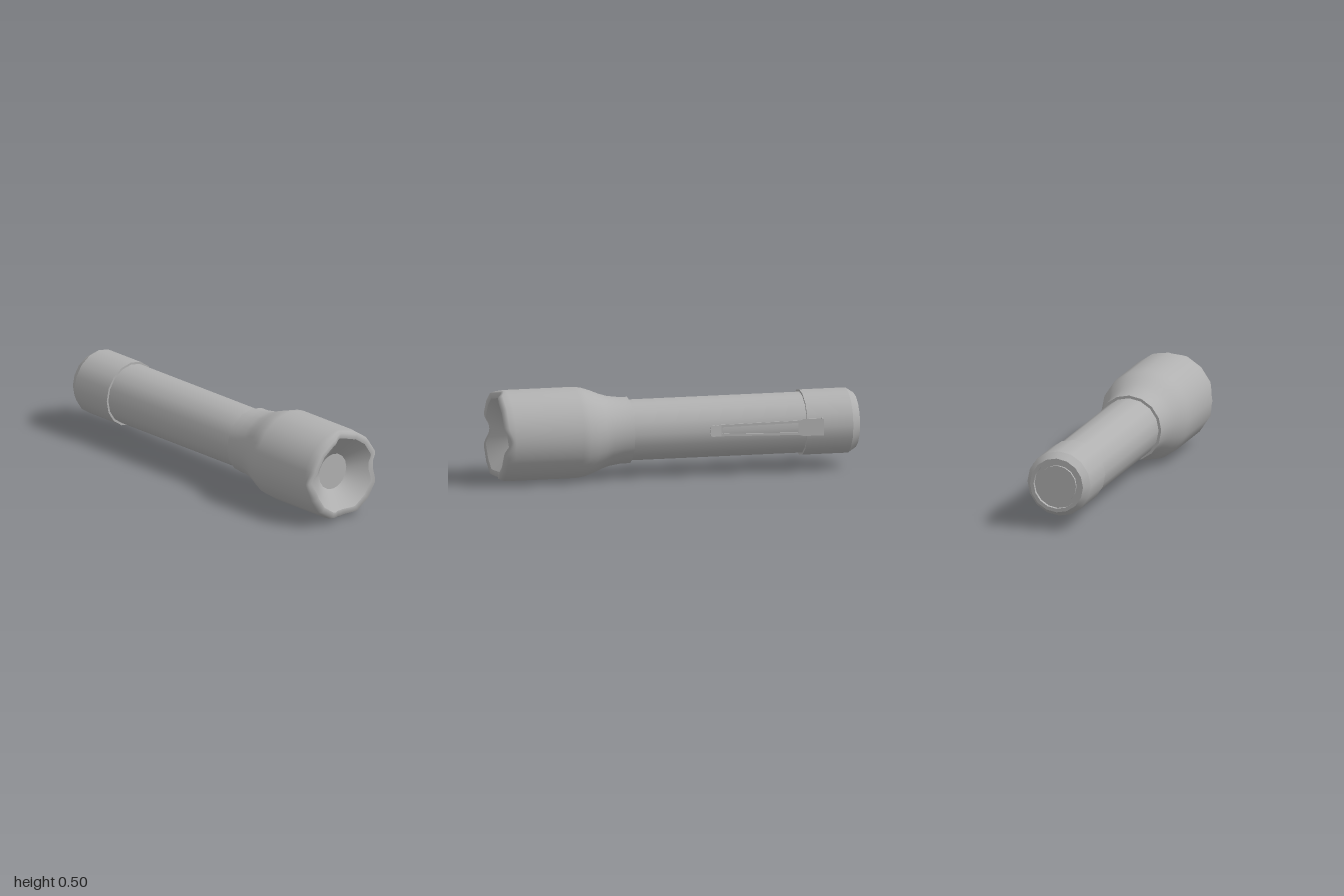
import * as THREE from 'three';
import { mergeGeometries } from 'three/addons/utils/BufferGeometryUtils.js';

const SIDES = 16, AXIS_Y = 0.25;
const grey = new THREE.MeshStandardMaterial({ color: 0xb0b0b0 });
grey.name = 'grey';

// Revolve [radius, z] profiles around the z axis; separate profiles meet in sharp edges.
// Profiles running towards +z face outwards.
function turned(profiles, segments = SIDES) {
  const parts = profiles.map(p =>
    new THREE.LatheGeometry(p.map(([r, z]) => new THREE.Vector2(r, z)), segments).rotateX(Math.PI / 2));
  return mergeGeometries(parts);
}

// Flatten a finely divided turning to 16 sides and cut four scallops into its front edge.
function scallop(geometry, zFrom, zTo) {
  const pos = geometry.attributes.position, step = 2 * Math.PI / SIDES;
  for (let i = 0; i < pos.count; i++) {
    const x = pos.getX(i), y = pos.getY(i), z = pos.getZ(i);
    const a = Math.atan2(y, x) + 2 * Math.PI;
    const chord = Math.cos(step / 2) / Math.cos(a - (Math.floor(a / step + 1e-6) + 0.5) * step);
    const quarter = Math.PI / 2;
    const off = Math.abs(a - Math.round(a / quarter) * quarter);
    const depth = off < step ? 0.0175 * (1 + Math.cos(off / step * Math.PI)) : 0;
    const weight = THREE.MathUtils.clamp((z - zFrom) / (zTo - zFrom), 0, 1);
    pos.setXYZ(i, x * chord, y * chord, z - depth * weight);
  }
  return geometry;
}

// Flat plate drawn as (-z, y), given thickness along x and leaned along its length.
function plate(outline, hole, thickness, xAt) {
  const toPoints = list => list.map(([u, v]) => new THREE.Vector2(u, v));
  const shape = new THREE.Shape(toPoints(outline));
  if (hole) shape.holes.push(new THREE.Path(toPoints(hole)));
  const g = new THREE.ExtrudeGeometry(shape, { depth: thickness, bevelEnabled: false });
  g.rotateY(Math.PI / 2);
  const pos = g.attributes.position;
  for (let i = 0; i < pos.count; i++) pos.setX(i, pos.getX(i) + xAt(-pos.getZ(i)));
  g.computeVertexNormals();
  return g;
}

export function createModel() {
  const model = new THREE.Group();
  model.name = 'flashlight';
  const add = (name, geometry, parent = model) => {
    const mesh = new THREE.Mesh(geometry, grey);
    mesh.name = name;
    parent.add(mesh);
    return mesh;
  };

  const torch = new THREE.Group();
  torch.name = 'torch';
  torch.position.y = AXIS_Y;
  model.add(torch);

  // Flared head with a crown-shaped rim
  add('head', scallop(turned([
    [[0.16, 0.26], [0.182, 0.26]],
    [[0.182, 0.26], [0.183, 0.31], [0.192, 0.375], [0.206, 0.42], [0.227, 0.47], [0.244, 0.52],
      [0.25, 0.56], [0.25, 0.75], [0.25, 0.94], [0.246, 0.975], [0.236, 1], [0.207, 0.995]],
  ], 128), 0.94, 0.99), torch);

  // Conical reflector and lens
  add('reflector', scallop(turned([[[0.207, 0.995], [0.1, 0.9]]], 128), 0.9, 0.995), torch);
  add('lens', turned([[[0.1, 0.9], [0, 0.9]]]), torch);

  // Barrel
  add('barrel', turned([[[0.167, -0.71], [0.167, 0.27]]]), torch);

  // Tail cap with a bevelled end and a shallow recess
  add('tailCap', turned([
    [[0, -0.98], [0.13, -0.98]],
    [[0.13, -0.98], [0.13, -1]],
    [[0.13, -1], [0.15, -1]],
    [[0.15, -1], [0.179, -0.955]],
    [[0.179, -0.955], [0.179, -0.7]],
    [[0.179, -0.7], [0.16, -0.7]],
  ]), torch);
  add('tailButton', turned([
    [[0, -0.993], [0.108, -0.993]],
    [[0.108, -0.993], [0.108, -0.978]],
  ]), torch);

  // Pocket clip on the left side: slotted arm, turned-out tip and foot
  const clip = new THREE.Group();
  clip.name = 'pocketClip';
  clip.position.y = 0.005;
  torch.add(clip);
  const armX = u => 0.168 + (u - 0.22) / 0.565 * 0.028;
  add('clipArm', plate(
    [[0.22, -0.031], [0.65, -0.039], [0.67, -0.046], [0.785, -0.046],
      [0.785, 0.046], [0.67, 0.046], [0.65, 0.039], [0.22, 0.031]],
    [[0.225, -0.014], [0.225, 0.014], [0.235, 0.018], [0.645, 0.027], [0.645, -0.027], [0.235, -0.018]],
    0.008, armX), clip);
  add('clipTip', plate(
    [[0.22, 0.031], [0.168, 0.03], [0.157, 0.022], [0.155, 0], [0.157, -0.022], [0.168, -0.03], [0.22, -0.031]],
    null, 0.008, u => 0.168 + (0.22 - u) * 0.27), clip);
  const foot = add('clipFoot', new THREE.BoxGeometry(0.04, 0.092, 0.008), clip);
  foot.position.set(0.183, 0, -0.781);

  return model;
}
